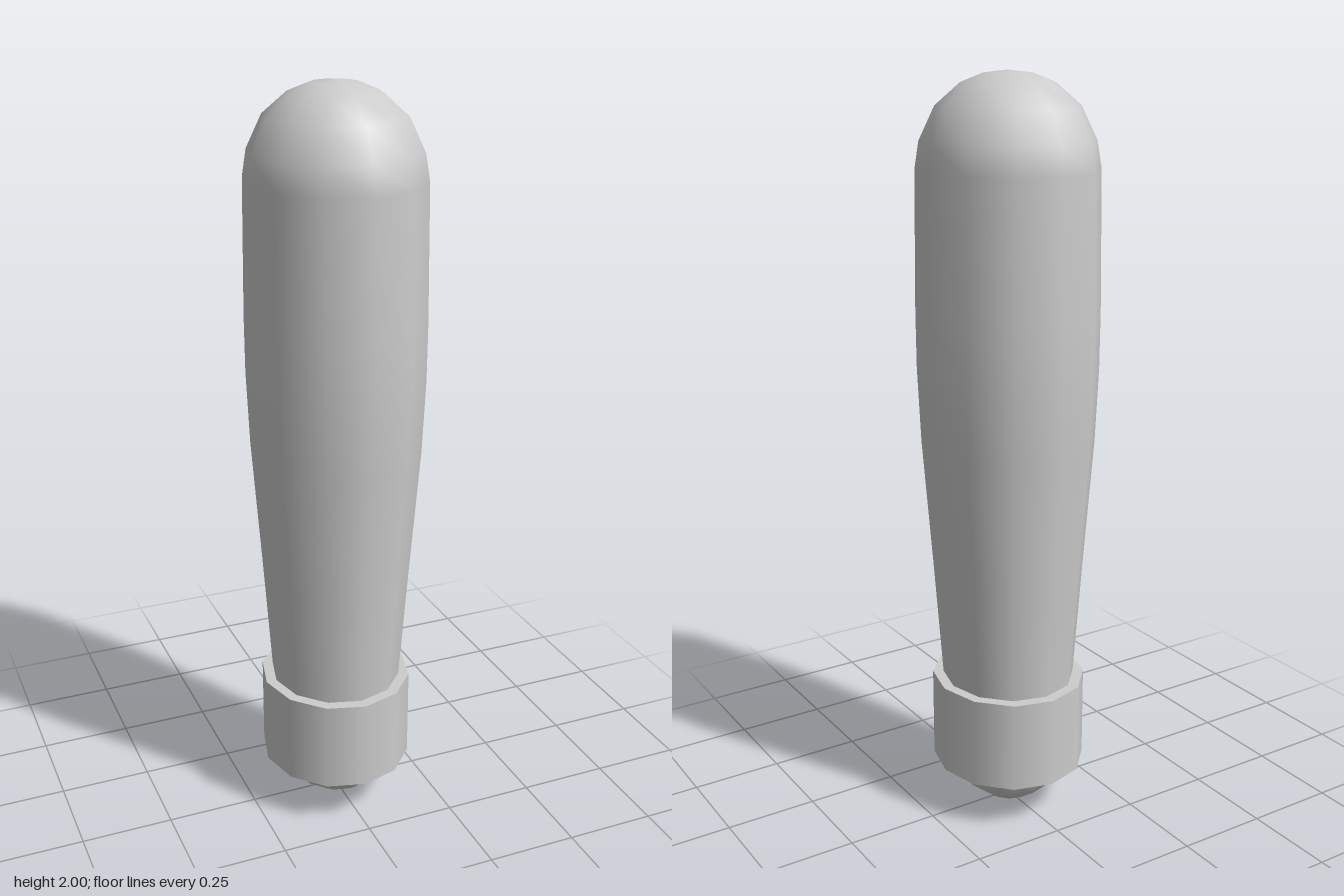
import * as THREE from 'three';

export function createModel() {
  const model = new THREE.Group();
  model.name = 'handle';
  const grey = new THREE.MeshStandardMaterial({ color: 0xcccccc });
  grey.name = 'light grey';
  const SIDES = 12, FLATTEN = 0.932; // slightly oval cross-section

  const add = (name, geometry) => {
    geometry.scale(FLATTEN, 1, 1);
    const mesh = new THREE.Mesh(geometry, grey);
    mesh.name = name;
    model.add(mesh);
    return mesh;
  };

  // Tapered grip with rounded ends: [radius, height]
  const profile = [
    [0, 0], [0.07, 0.014], [0.128, 0.056], [0.16, 0.115], [0.172, 0.18],
    [0.19, 0.38], [0.214, 0.7], [0.242, 1.05], [0.251, 1.25], [0.252, 1.4],
    [0.247, 1.76], [0.235, 1.83], [0.192, 1.915], [0.125, 1.97], [0.065, 1.993], [0, 2],
  ].map(([r, y]) => new THREE.Vector2(r, y));
  add('grip', new THREE.LatheGeometry(profile, SIDES));

  // Straight collar near the lower end
  const collar = new THREE.CylinderGeometry(0.221, 0.221, 0.25, SIDES);
  add('collar', collar).position.y = 0.255;

  return model;
}
